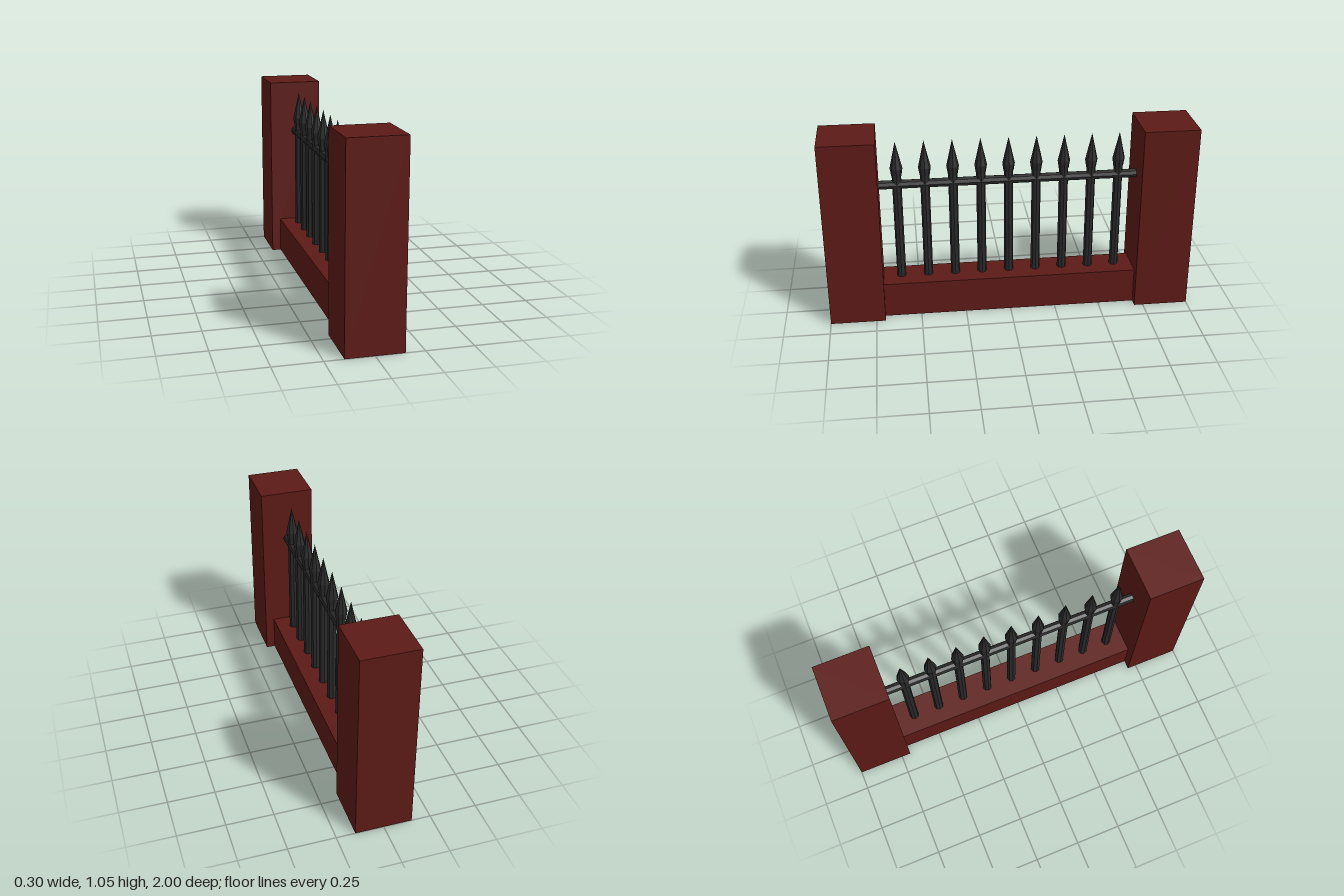
import * as THREE from 'three';

export function createModel() {
  const model = new THREE.Group();
  const brick = new THREE.MeshStandardMaterial({ color: 0x5c1a16 });
  const iron = new THREE.MeshStandardMaterial({ color: 0x2a2a2a, flatShading: true });

  const add = (parent, name, geometry, material, y, z) => {
    const mesh = new THREE.Mesh(geometry, material);
    mesh.name = name;
    mesh.position.set(0, y, z);
    parent.add(mesh);
    return mesh;
  };

  // Square end pillars and the low wall between them
  const pillarGeometry = new THREE.BoxGeometry(0.3, 1.05, 0.3);
  add(model, 'frontPillar', pillarGeometry, brick, 0.525, 0.85);
  add(model, 'backPillar', pillarGeometry, brick, 0.525, -0.85);
  add(model, 'lowWall', new THREE.BoxGeometry(0.2, 0.2, 1.4), brick, 0.1, 0);

  // Horizontal rail
  const rail = add(model, 'rail', new THREE.CylinderGeometry(0.025, 0.025, 1.4, 8), iron, 0.755, 0);
  rail.rotation.x = Math.PI / 2;

  // Upright bars with spear tips
  const barGeometry = new THREE.CylinderGeometry(0.025, 0.025, 0.62, 8);
  const tipProfile = [[0, 0], [0.027, 0], [0.034, 0.045], [0, 0.195]]
    .map(([r, y]) => new THREE.Vector2(r, y));
  const tipGeometry = new THREE.LatheGeometry(tipProfile, 8);
  for (let i = -4; i <= 4; i++) {
    const picket = new THREE.Group();
    picket.name = 'picket';
    picket.position.z = i * 0.15;
    add(picket, 'bar', barGeometry, iron, 0.5, 0);
    add(picket, 'spearTip', tipGeometry, iron, 0.805, 0);
    model.add(picket);
  }
  return model;
}
